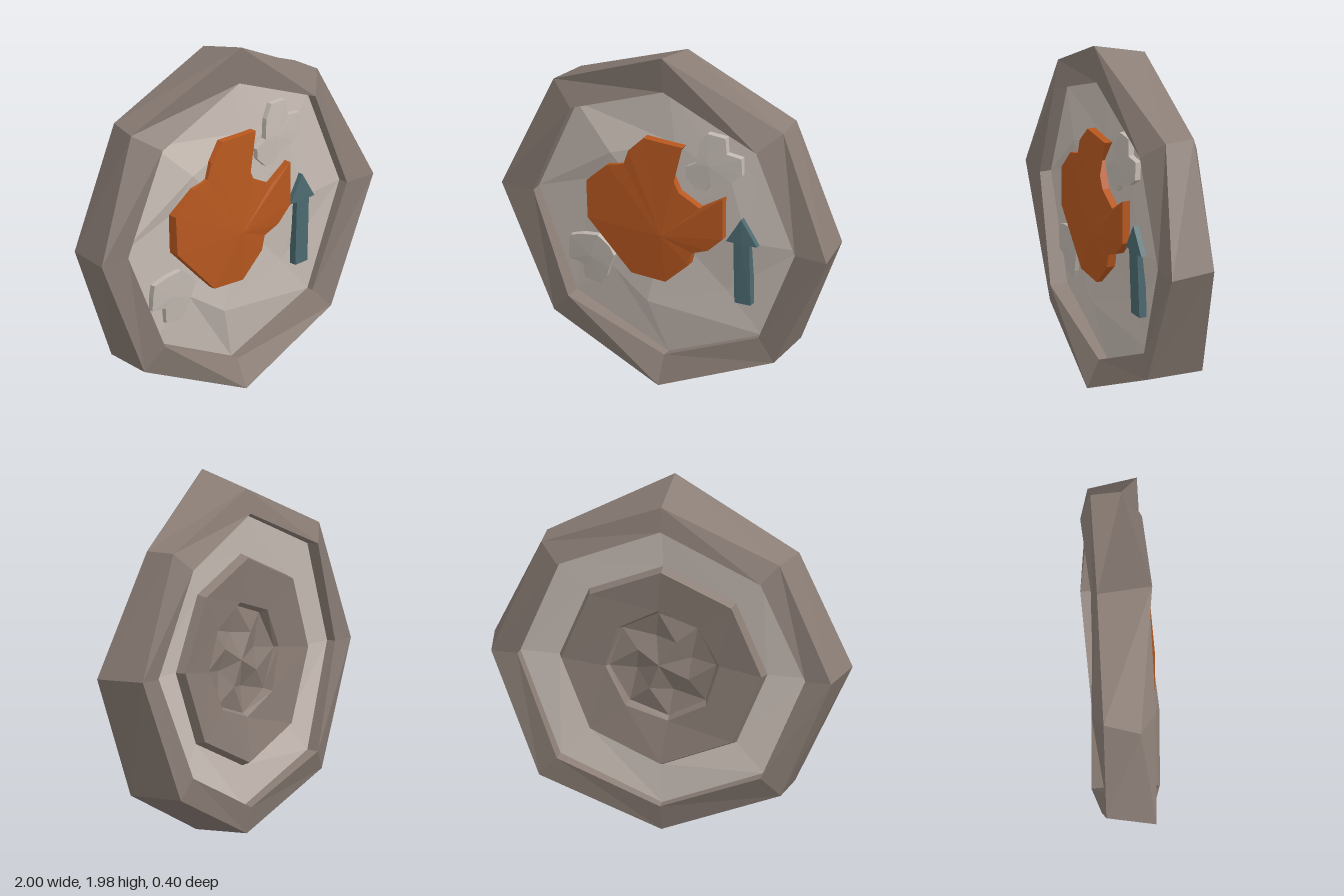
import * as THREE from 'three';

const CY = 0.96;

function material(name, color) {
  const m = new THREE.MeshStandardMaterial({ color, flatShading: true });
  m.name = name;
  return m;
}

// Flat-shaded mesh from a list of triangle corners
function facets(name, corners, mat) {
  const g = new THREE.BufferGeometry();
  g.setAttribute('position', new THREE.Float32BufferAttribute(corners.flat(), 3));
  g.computeVertexNormals();
  const mesh = new THREE.Mesh(g, mat);
  mesh.name = name;
  return mesh;
}

// Eight points, clockwise from the top; z may vary per point
function ring(r, zs, twist = 0) {
  return zs.map((z, i) => {
    const a = i * Math.PI / 4 + twist;
    return [r * Math.sin(a), CY + r * Math.cos(a), z];
  });
}

// Skin a chain of rings running from the back of the disc to the front
function skin(name, rings, mat) {
  const out = [];
  for (let k = 0; k + 1 < rings.length; k++) {
    const a = rings[k], b = rings[k + 1];
    for (let i = 0; i < 8; i++) {
      const j = (i + 1) % 8;
      if (b[i] !== b[j]) out.push(a[i], b[i], b[j]);
      if (a[i] !== a[j]) out.push(a[i], b[j], a[j]);
    }
  }
  return facets(name, out, mat);
}

// Raised plate: clockwise outline, top fanned from a centre point, side walls.
// Its top is level near the disc's middle and slopes down towards the rim.
function plate(name, outline, [cx, cy], level, rise, mat) {
  const top = (x, y) => level - 0.1 * Math.max(0, Math.hypot(x, y - CY) - 0.45);
  const out = [], centre = [cx, cy, top(cx, cy) + rise], baseZ = 0.06;
  outline.forEach(([x, y], i) => {
    const [u, v] = outline[(i + 1) % outline.length];
    const p = [x, y, top(x, y)], q = [u, v, top(u, v)];
    const pb = [x, y, baseZ], qb = [u, v, baseZ];
    out.push(centre, q, p, p, q, qb, p, qb, pb);
  });
  return facets(name, out, mat);
}

export function createModel() {
  const group = new THREE.Group();
  const stone = material('darkStone', 0x8a7d75);
  const pale = material('paleStone', 0xc8bdb5);
  const patch = material('patchStone', 0xc3bab2);
  const rust = material('rustOrange', 0xb85820);
  const teal = material('slateTeal', 0x4c6b71);

  // Back: sunken hub, raised boss, recessed pale ring
  const backCentre = Array(8).fill([0.02, CY, -0.12]);
  const hubMid = ring(0.16, [-0.06, -0.1, -0.06, -0.11, -0.06, -0.1, -0.07, -0.11], 0.3);
  const hubEdge = ring(0.3, [-0.09, -0.08, -0.1, -0.08, -0.09, -0.08, -0.1, -0.08], 0.1);
  const bossInner = ring(0.32, [-0.12, -0.13, -0.12, -0.13, -0.12, -0.13, -0.12, -0.13], 0.1);
  const bossOuter = ring(0.56, [-0.15, -0.16, -0.14, -0.15, -0.16, -0.15, -0.14, -0.16]);
  const bossFoot = ring(0.58, [-0.1, -0.11, -0.09, -0.1, -0.11, -0.1, -0.09, -0.11]);
  const recess = ring(0.8, [-0.12, -0.13, -0.09, -0.13, -0.12, -0.13, -0.09, -0.13]);
  const backLip = ring(0.805, [-0.165, -0.2, -0.14, -0.2, -0.17, -0.2, -0.14, -0.2]);

  // Uneven outer rim, back edge and front edge
  const backRim = [
    [0, 1.9, -0.14], [0.67, 1.63, -0.14], [0.95, 0.96, -0.14], [0.67, 0.28, -0.19],
    [0, 0.01, -0.14], [-0.67, 0.28, -0.15], [-0.95, 0.96, -0.14], [-0.66, 1.63, -0.14]];
  const frontRim = [
    [0, 1.98, 0.16], [0.68, 1.63, 0.03], [1, 0.96, 0.13], [0.68, 0.28, 0.14],
    [0, 0, 0.2], [-0.68, 0.26, 0.125], [-1, 0.96, 0.13], [-0.72, 1.63, 0.06]];
  const frontLip = ring(0.805, [0.145, 0.135, 0.13, 0.11, 0.13, 0.17, 0.13, 0.15]);

  // Front: recessed faceted panel
  const panelEdge = ring(0.805, [0.08, 0.07, 0.07, 0.07, 0.08, 0.07, 0.065, 0.07]);
  const panelMid = [
    [0.05, 1.45, 0.105], [0.4, 1.3, 0.105], [0.5, 0.95, 0.105], [0.36, 0.62, 0.085],
    [-0.1, 0.46, 0.135], [-0.33, 0.6, 0.1], [-0.47, 1.1, 0.09], [-0.33, 1.31, 0.135]];
  const panelCentre = Array(8).fill([0, CY, 0.12]);

  group.add(
    skin('backHub', [backCentre, hubMid, hubEdge, bossInner], stone),
    skin('backBoss', [bossInner, bossOuter, bossFoot], stone),
    skin('backRing', [bossFoot, recess], pale),
    skin('outerRim', [recess, backLip, backRim, frontRim, frontLip, panelEdge], stone),
    skin('frontPanel', [panelEdge, panelMid, panelCentre], pale));

  // Notched emblem
  group.add(plate('emblem', [
    [-0.12, 1.455], [0.12, 1.455], [0.03, 1.32], [0.1, 1.18], [0.23, 1.115], [0.37, 1.205],
    [0.37, 0.96], [0.28, 0.87], [0.18, 0.83], [0.16, 0.75], [0.02, 0.615], [-0.19, 0.62],
    [-0.46, 0.89], [-0.47, 1.11], [-0.34, 1.24], [-0.24, 1.27], [-0.21, 1.36]],
  [0, 0.9], 0.152, 0.023, rust));

  // Two pale raised patches
  group.add(plate('upperPatch', [
    [0.26, 1.565], [0.37, 1.56], [0.38, 1.47], [0.47, 1.46], [0.475, 1.36], [0.41, 1.31],
    [0.29, 1.27], [0.26, 1.225], [0.2, 1.225], [0.14, 1.28], [0.135, 1.34], [0.2, 1.38],
    [0.215, 1.49]],
  [0.28, 1.38], 0.14, 0.004, patch));
  group.add(plate('lowerPatch', [
    [-0.59, 0.73], [-0.51, 0.76], [-0.41, 0.78], [-0.34, 0.73], [-0.31, 0.68], [-0.34, 0.6],
    [-0.36, 0.54], [-0.39, 0.485], [-0.5, 0.49], [-0.51, 0.58], [-0.6, 0.585], [-0.6, 0.66]],
  [-0.46, 0.64], 0.128, 0.004, patch));

  // Upward arrow
  group.add(plate('arrow', [
    [0.475, 1.1], [0.57, 0.95], [0.525, 0.95], [0.525, 0.58], [0.43, 0.58], [0.43, 0.95],
    [0.385, 0.95]],
  [0.477, 0.95], 0.138, 0.002, teal));

  return group;
}
